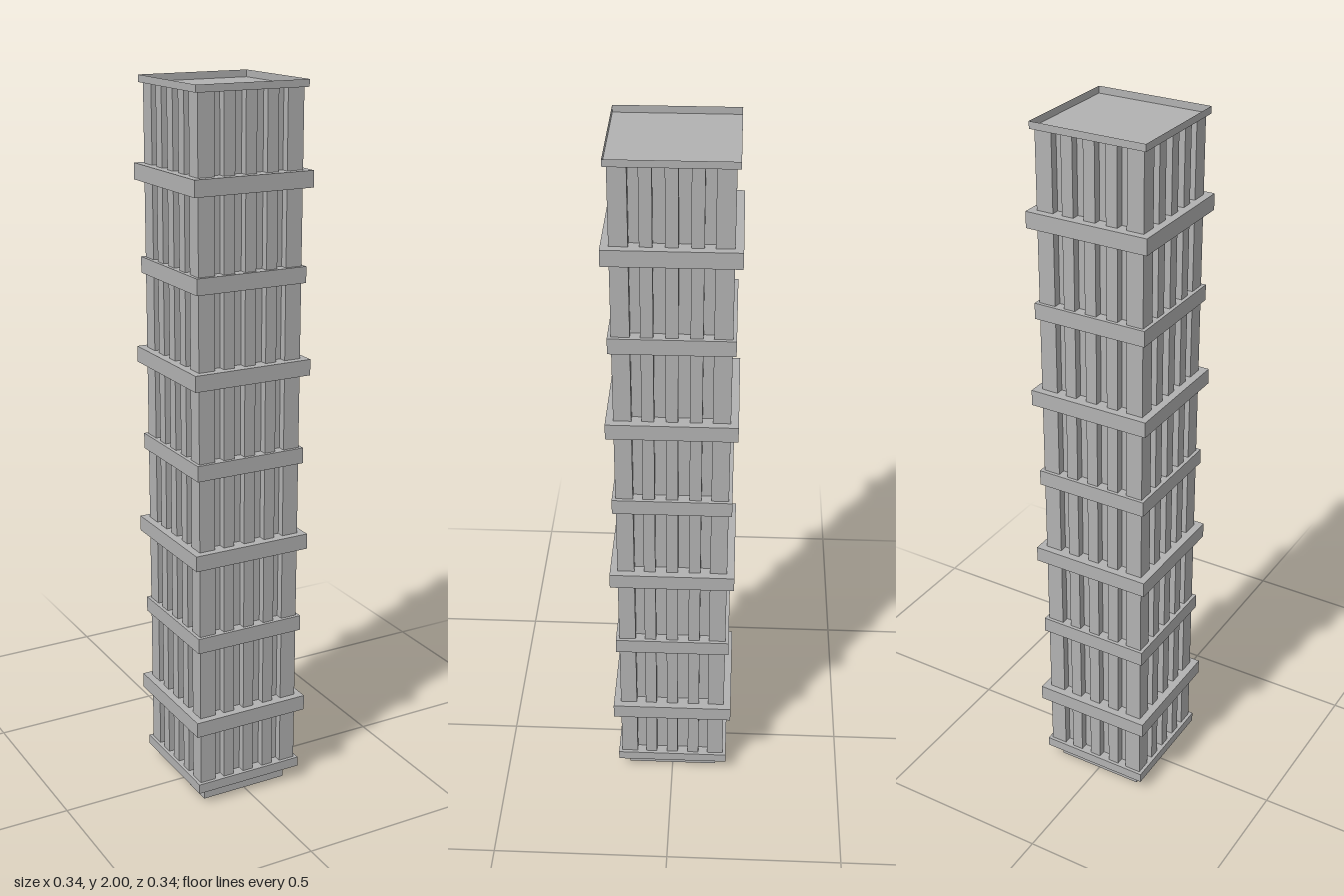
import * as THREE from 'three';

export function createModel() {
  const tower = new THREE.Group();
  tower.name = 'tower';
  const concrete = new THREE.MeshStandardMaterial({ color: 0xb2b2b2, side: THREE.DoubleSide });
  concrete.name = 'concrete grey';

  function box(name, w, d, y0, y1, x = 0, z = 0, parent = tower) {
    const mesh = new THREE.Mesh(new THREE.BoxGeometry(w, y1 - y0, d), concrete);
    mesh.position.set(x, (y0 + y1) / 2, z);
    mesh.name = name;
    parent.add(mesh);
    return mesh;
  }

  const FACE = 0.152, CORE = 0.13, PIER = 0.047, ROOF = 1.981;

  // Inner core, showing at the bottom as the plinth
  box('core', CORE * 2, CORE * 2, 0, ROOF);

  // Solid corner piers
  for (const sx of [-1, 1]) {
    for (const sz of [-1, 1]) {
      const c = FACE - PIER / 2;
      box('cornerPier', PIER, PIER, 0.05, ROOF, sx * c, sz * c);
    }
  }

  // Three vertical ribs on each side
  for (let side = 0; side < 4; side++) {
    const ribs = new THREE.Group();
    ribs.name = 'sideRibs';
    ribs.rotation.y = side * Math.PI / 2;
    for (const x of [-0.0625, 0, 0.0625]) {
      box('rib', 0.032, 0.03, 0.05, ROOF, x, FACE - 0.015, ribs);
    }
    tower.add(ribs);
  }

  // Floor bands, alternately wide and narrow
  box('baseBand', 0.323, 0.323, 0.042, 0.07);
  for (let i = 1; i <= 7; i++) {
    const w = i % 2 ? 0.345 : 0.323;
    box('floorBand', w, w, i * 0.25 - 0.021, i * 0.25 + 0.023);
  }

  // Roof tray: thin parapet walls with an open top
  const tray = box('roofParapet', 0.323, 0.323, ROOF, 2);
  const index = Array.from(tray.geometry.index.array);
  index.splice(12, 6); // drop the upper face
  tray.geometry.setIndex(index);
  tray.geometry.clearGroups();

  return tower;
}
